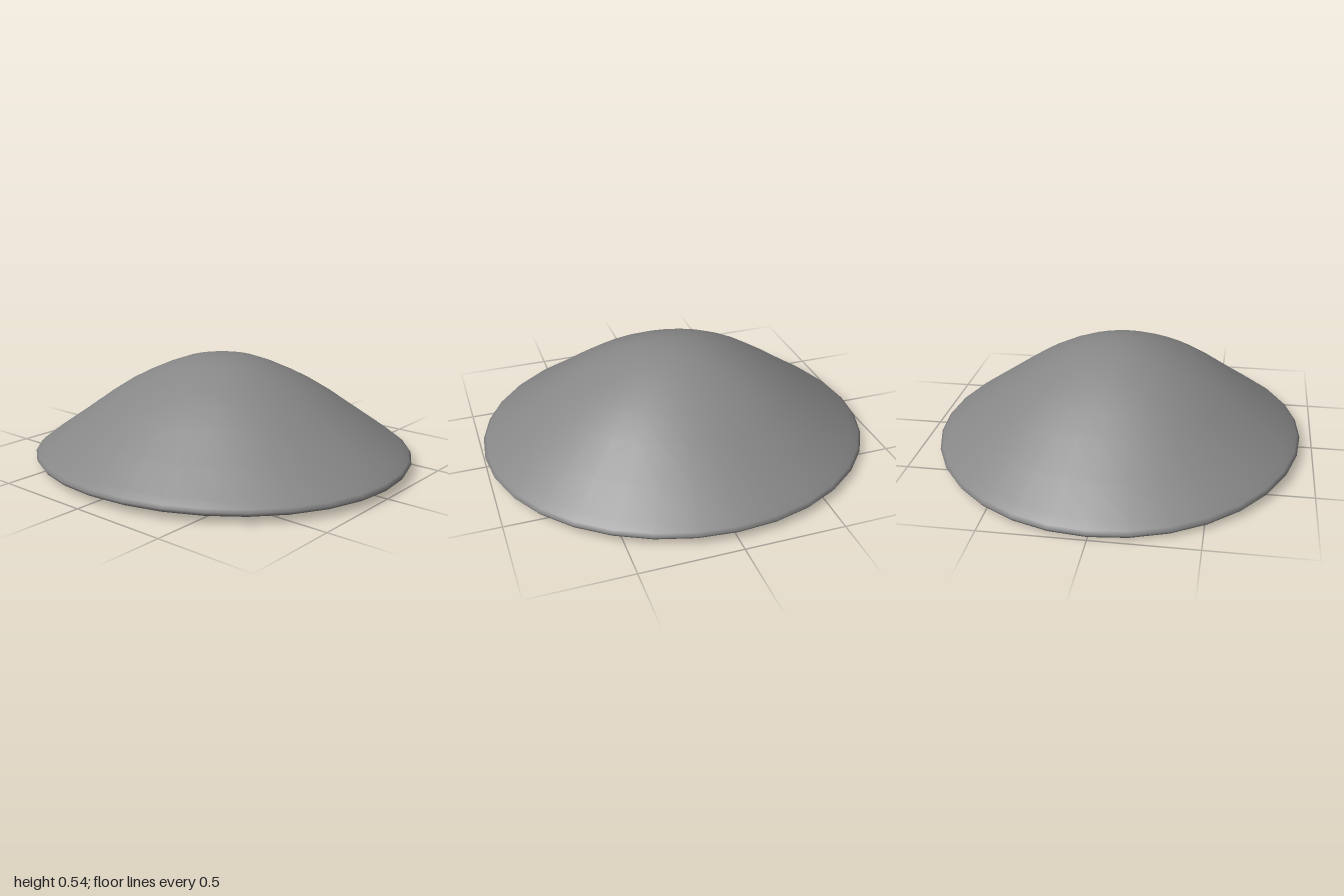
import * as THREE from 'three';
import { mergeVertices } from 'three/addons/utils/BufferGeometryUtils.js';

export function createModel() {
  const group = new THREE.Group();
  group.name = 'domedMound';

  // Profile from the centre of the underside, round the rim, to the peak
  const profile = [
    [0, 0], [0.5, 0], [0.9, 0], [0.97, 0.003], [0.99, 0.012], [1, 0.028], [0.985, 0.042],
    [0.95, 0.068], [0.8, 0.172], [0.62, 0.294], [0.5, 0.37], [0.4, 0.424],
    [0.3, 0.468], [0.2, 0.502], [0.1, 0.52], [0, 0.526],
  ].map(([r, y]) => new THREE.Vector2(r, y));
  let geometry = new THREE.LatheGeometry(profile, 32);

  // Oval plan, slight tilt towards the back, sides of the base curling up,
  // and faint unevenness on the slopes
  const p = geometry.attributes.position;
  for (let i = 0; i < p.count; i++) {
    const x = p.getX(i) * 0.935, y = p.getY(i), z = p.getZ(i);
    const slope = y > 0.1 ? Math.sin(Math.PI * Math.hypot(x, z)) : 0;
    const lump = 0.006 * slope * Math.sin(8 * x + 1) * Math.cos(7 * z);
    p.setXYZ(i, x, y + 0.013 + 0.013 * z + 0.02 * x * x * (1 - y) + lump, z);
  }

  // Weld the seam so the shading is smooth all round
  geometry.deleteAttribute('uv');
  geometry.deleteAttribute('normal');
  geometry = mergeVertices(geometry, 1e-4);
  geometry.computeVertexNormals();

  const dome = new THREE.Mesh(geometry, new THREE.MeshStandardMaterial({ color: 0x878787 }));
  dome.name = 'dome';
  group.add(dome);
  return group;
}
